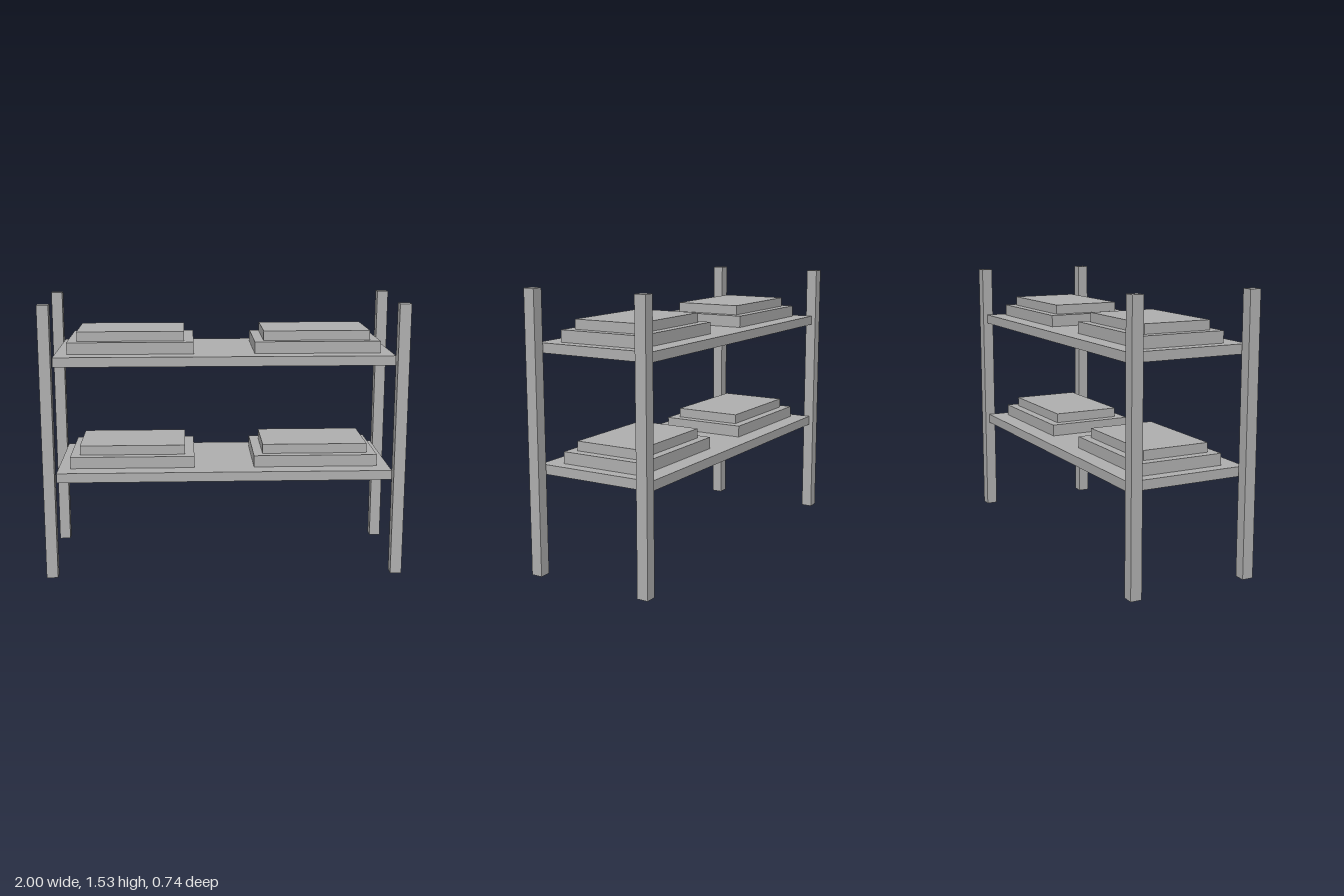
import * as THREE from 'three';

const grey = new THREE.MeshStandardMaterial({ color: 0xb0b0b0 });
grey.name = 'grey';

// Box standing on height y, centred on x and z
function block(name, w, h, d, x, y, z) {
  const mesh = new THREE.Mesh(new THREE.BoxGeometry(w, h, d), grey);
  mesh.name = name;
  mesh.position.set(x, y + h / 2, z);
  return mesh;
}

export function createModel() {
  const model = new THREE.Group();
  model.name = 'shelfRack';

  // Four corner posts
  for (const sx of [-1, 1]) {
    for (const sz of [-1, 1]) {
      const name = (sz > 0 ? 'front' : 'back') + (sx > 0 ? 'Left' : 'Right') + 'Post';
      model.add(block(name, 0.063, 1.527, 0.063, sx * 0.9685, 0, sz * 0.337));
    }
  }

  // Two shelves, each carrying a pair of stepped stacks
  [['lower', 0.545], ['upper', 1.19]].forEach(([level, y]) => {
    const tier = new THREE.Group();
    tier.name = level + 'Tier';
    tier.position.y = y;
    tier.add(block('shelf', 1.858, 0.053, 0.693, 0, 0, 0));
    for (const sx of [-1, 1]) {
      const side = sx > 0 ? 'left' : 'right';
      tier.add(block(side + 'StackBase', 0.695, 0.065, 0.488, sx * 0.515, 0.053, 0));
      tier.add(block(side + 'StackTop', 0.591, 0.053, 0.386, sx * 0.515, 0.118, 0));
    }
    model.add(tier);
  });

  return model;
}
